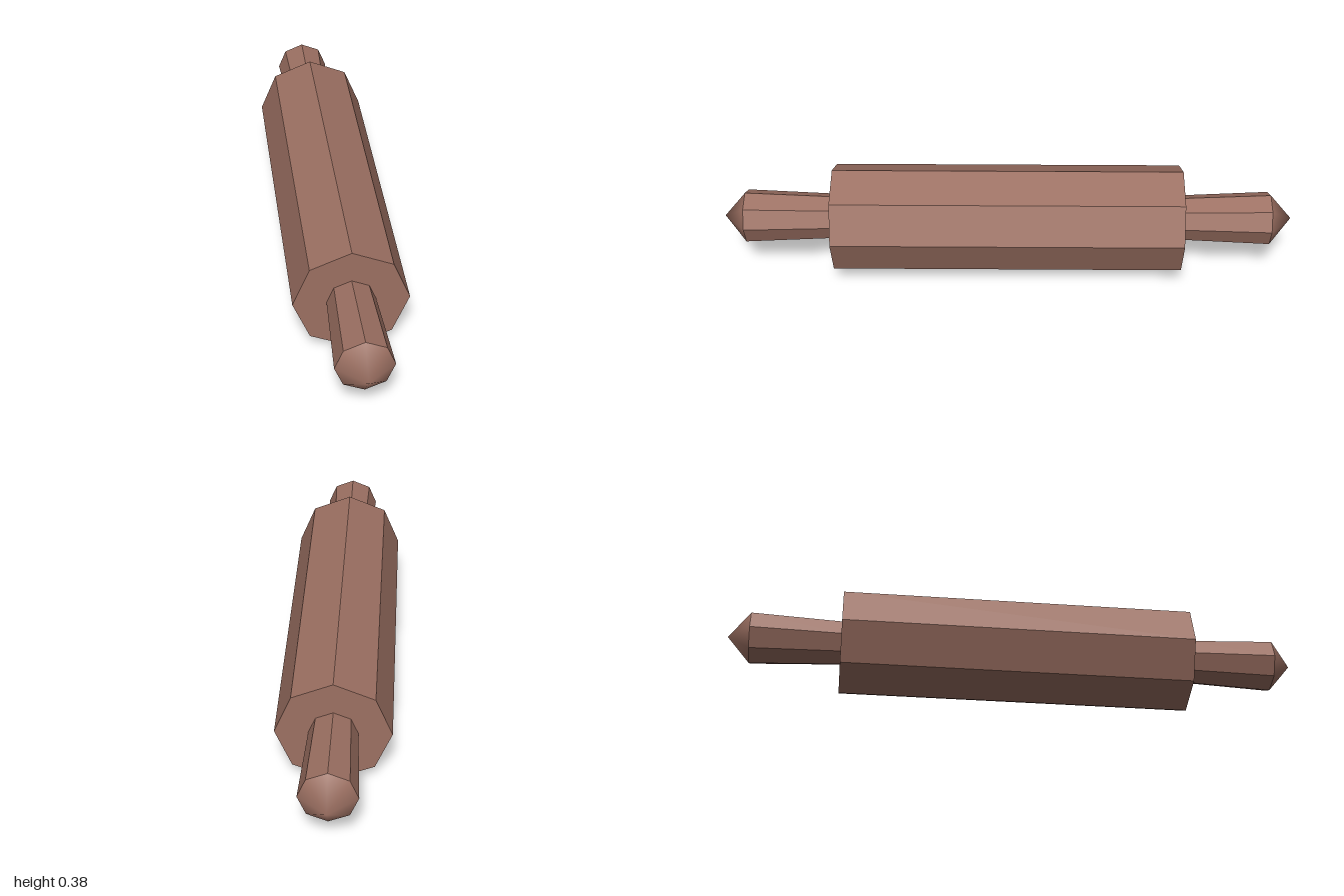
import * as THREE from 'three';
import { mergeVertices } from 'three/addons/utils/BufferGeometryUtils.js';

const SIDES = 8;
const AXIS_Y = 0.189;

// Eight-sided prism along z with flat faces
function facetedBar(frontRadius, backRadius, length) {
  const geometry = new THREE.CylinderGeometry(frontRadius, backRadius, length, SIDES).rotateX(Math.PI / 2).toNonIndexed();
  geometry.computeVertexNormals();
  return geometry;
}

// Open cone pointing to +z, smoothed across its tip
function smoothTip(radius, length) {
  const cone = new THREE.ConeGeometry(radius, length, SIDES, 1, true).rotateX(Math.PI / 2);
  cone.deleteAttribute('normal');
  cone.deleteAttribute('uv');
  const geometry = mergeVertices(cone);
  geometry.computeVertexNormals();
  return geometry;
}

export function createModel() {
  const model = new THREE.Group();
  model.name = 'rollingPin';
  const wood = new THREE.MeshStandardMaterial({ color: 0x9c7062 });
  wood.name = 'brown wood';

  function add(parent, name, geometry, z) {
    const mesh = new THREE.Mesh(geometry, wood);
    mesh.name = name;
    mesh.position.z = z;
    parent.add(mesh);
  }

  const pin = new THREE.Group();
  pin.name = 'pin';
  pin.position.y = AXIS_Y;
  model.add(pin);

  // Main roller
  add(pin, 'roller', facetedBar(0.189, 0.189, 1.22), 0);

  // Flared handle and domed tip at each end
  for (const [name, turn] of [['frontHandle', 0], ['backHandle', Math.PI]]) {
    const handle = new THREE.Group();
    handle.name = name;
    handle.rotation.y = turn;
    add(handle, 'grip', facetedBar(0.094, 0.08, 0.312), 0.766);
    add(handle, 'tip', smoothTip(0.094, 0.078), 0.961);
    pin.add(handle);
  }
  return model;
}
